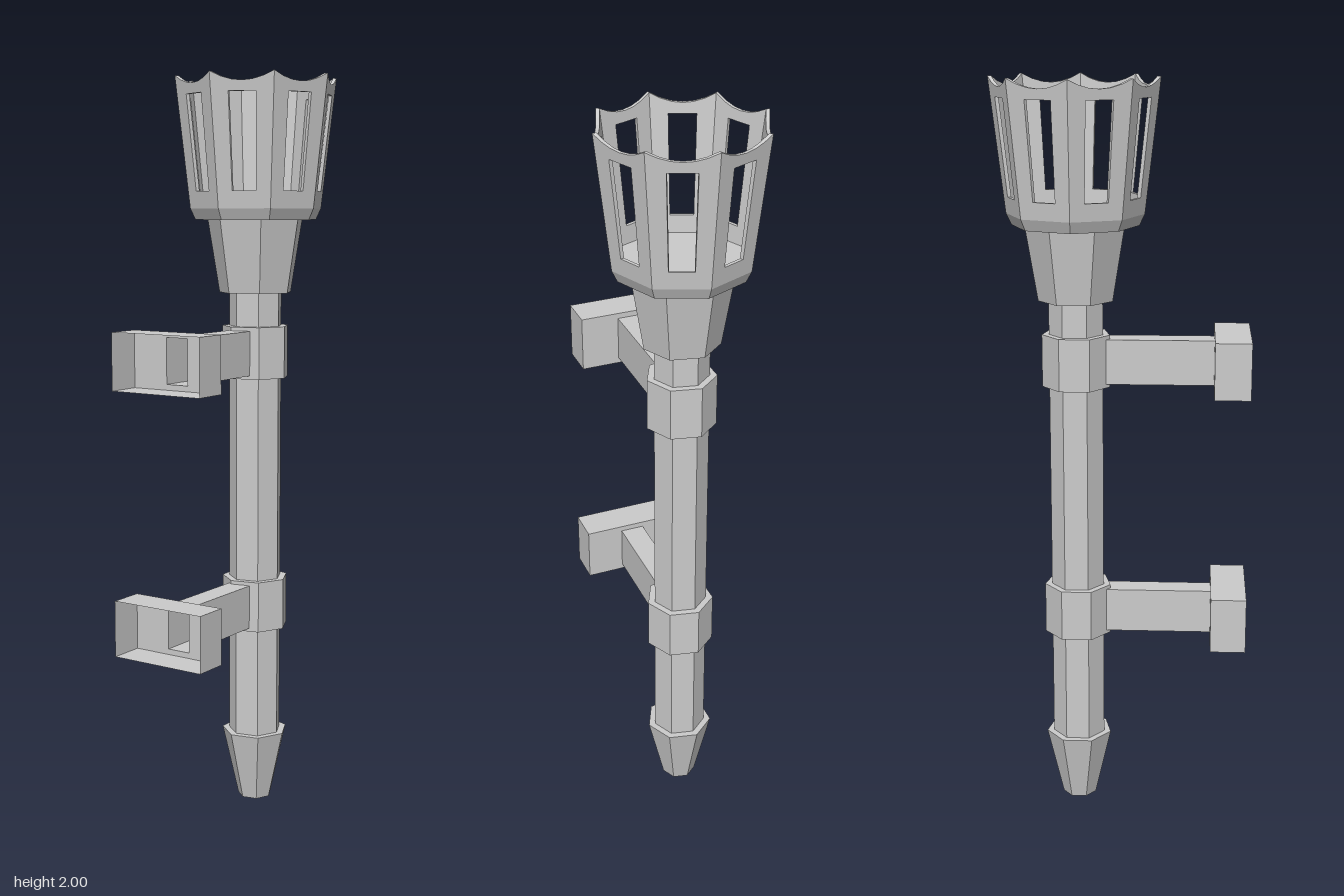
import * as THREE from 'three';

const material = new THREE.MeshStandardMaterial({ color: 0xcccccc, flatShading: true, side: THREE.DoubleSide });
const AXIS_Z = -0.12; // the pole stands behind the wall brackets

function add(parent, name, geometry, x = 0, y = 0, z = 0) {
  const mesh = new THREE.Mesh(geometry, material);
  mesh.name = name;
  mesh.position.set(x, y, z);
  parent.add(mesh);
  return mesh;
}

// Faceted tapered section between two heights, with one corner on +x
function section(parent, name, rTop, rBottom, y0, y1, sides = 7) {
  const g = new THREE.CylinderGeometry(rTop, rBottom, y1 - y0, sides, 1, false, Math.PI / 2);
  return add(parent, name, g, 0, (y0 + y1) / 2, AXIS_Z);
}

// Rectangular sleeve, open at both ends, running from z0 to z1
function sleeve(w, h, z0, z1) {
  const g = new THREE.CylinderGeometry(Math.SQRT1_2, Math.SQRT1_2, 1, 4, 1, true);
  g.rotateY(Math.PI / 4).rotateX(Math.PI / 2);
  return g.scale(w, h, z1 - z0).translate(0, 0, (z0 + z1) / 2);
}

function rectangle(Type, w, h) {
  const p = new Type();
  p.moveTo(-w / 2, -h / 2).lineTo(w / 2, -h / 2).lineTo(w / 2, h / 2).lineTo(-w / 2, h / 2).closePath();
  return p;
}

// Hollow arm and open-fronted wall mount, held to the pole by a collar
function bracket(y) {
  const group = new THREE.Group();
  group.name = 'bracket';
  section(group, 'collar', 0.092, 0.092, y - 0.07, y + 0.07);
  add(group, 'arm', sleeve(0.066, 0.12, -0.04, 0.245), 0, y);
  add(group, 'mountWalls', sleeve(0.272, 0.15, 0.245, 0.34), 0, y);
  const back = rectangle(THREE.Shape, 0.272, 0.15);
  back.holes.push(rectangle(THREE.Path, 0.066, 0.12));
  add(group, 'mountBack', new THREE.ShapeGeometry(back), 0, y, 0.245);
  return group;
}

// One windowed side of the basket: drawn flat as (fraction of side, height),
// then bent onto the flaring octagon
function basketPanel(index) {
  const y0 = 1.655;
  const shape = new THREE.Shape();
  shape.moveTo(0, y0).lineTo(1, y0).lineTo(1, 2);
  shape.quadraticCurveTo(0.5, 1.953, 0, 2); // scalloped rim
  shape.closePath();
  const hole = new THREE.Path();
  hole.moveTo(0.28, 1.7).lineTo(0.28, 1.95).lineTo(0.72, 1.95).lineTo(0.72, 1.7).closePath();
  shape.holes.push(hole);
  const g = new THREE.ExtrudeGeometry(shape, { depth: 1, bevelEnabled: false, curveSegments: 6 });
  const a = index * Math.PI / 4, b = a + Math.PI / 4;
  const p = g.attributes.position;
  for (let i = 0; i < p.count; i++) {
    const t = p.getX(i), y = p.getY(i), d = p.getZ(i);
    const r = 0.18 + 0.04 * (y - y0) / (2 - y0) - 0.01 * (1 - d);
    p.setXYZ(i,
      r * THREE.MathUtils.lerp(Math.sin(a), Math.sin(b), t), y,
      r * THREE.MathUtils.lerp(Math.cos(a), Math.cos(b), t));
  }
  g.computeVertexNormals();
  return g;
}

export function createModel() {
  const model = new THREE.Group();
  model.name = 'wallTorch';

  // Shaft
  section(model, 'tip', 0.092, 0.047, 0, 0.195);
  section(model, 'pole', 0.073, 0.073, 0.19, 1.44);
  section(model, 'funnel', 0.133, 0.1, 1.43, 1.63);

  // Basket
  const basket = new THREE.Group();
  basket.name = 'basket';
  section(basket, 'basketBase', 0.18, 0.166, 1.625, 1.655, 8);
  for (let i = 0; i < 8; i++) add(basket, 'basketPanel', basketPanel(i), 0, 0, AXIS_Z);
  model.add(basket);

  // Wall brackets
  for (const y of [0.57, 1.27]) model.add(bracket(y));
  return model;
}
